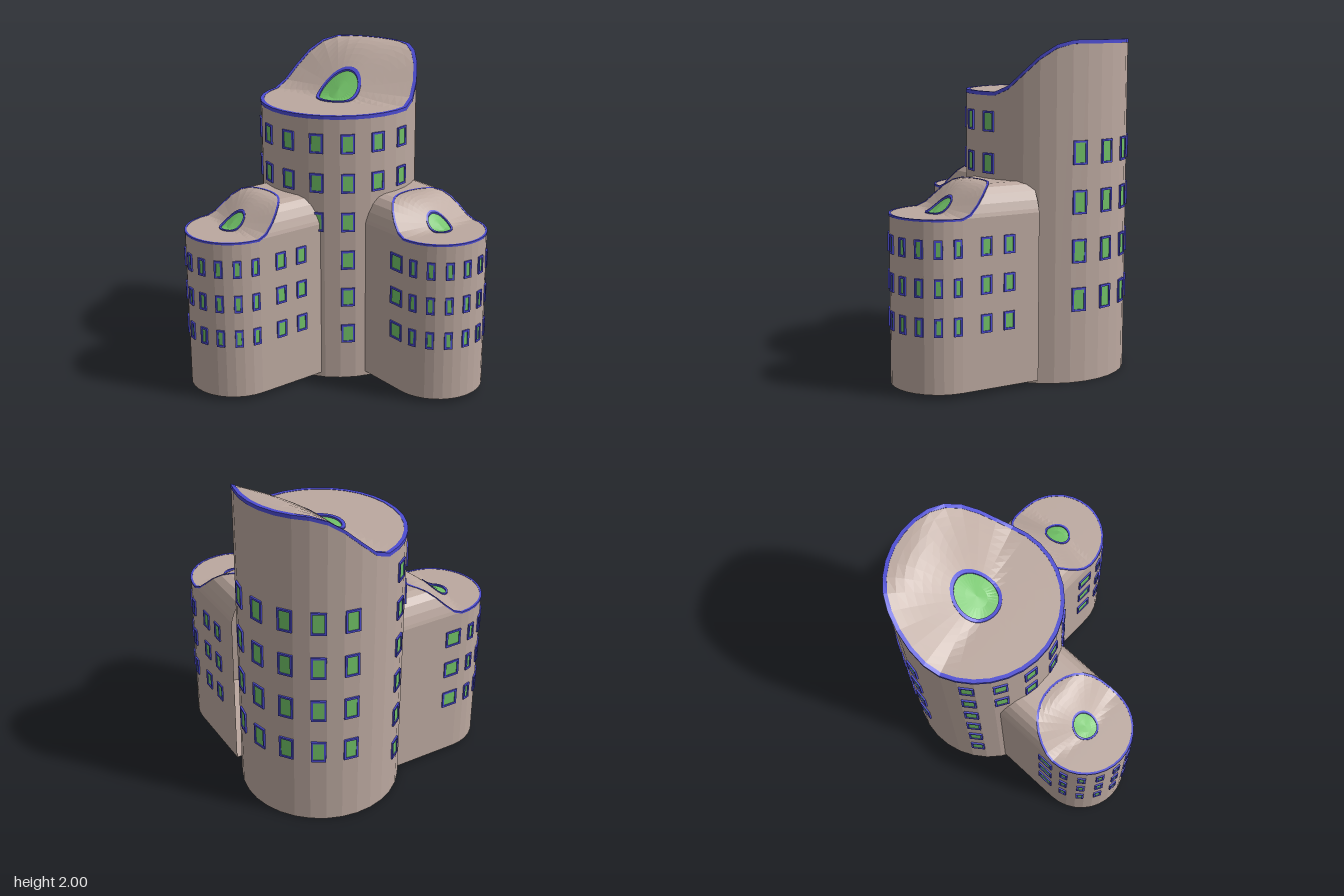
import * as THREE from 'three';

const paint = (color) => new THREE.MeshStandardMaterial({ color, flatShading: true, side: THREE.DoubleSide });
const stone = paint(0xbba89f), blue = paint(0x4b4bd2), green = paint(0x70c066);
const SEG = 32, TAU = Math.PI * 2, rad = THREE.MathUtils.degToRad;

function add(parent, name, geometry, material) {
  const mesh = new THREE.Mesh(geometry, material);
  mesh.name = name;
  parent.add(mesh);
  return mesh;
}

// Grid surface: point(i, j) returns [x, y, z]; faces look along i x j
function sheet(ni, nj, point) {
  const pos = [], index = [];
  for (let i = 0; i <= ni; i++) {
    for (let j = 0; j <= nj; j++) {
      pos.push(...point(i, j));
      if (i < ni && j < nj) {
        const a = i * (nj + 1) + j, b = a + nj + 1;
        index.push(a, b, b + 1, a, b + 1, a + 1);
      }
    }
  }
  const g = new THREE.BufferGeometry();
  g.setAttribute('position', new THREE.Float32BufferAttribute(pos, 3));
  g.setIndex(index);
  g.computeVertexNormals();
  return g;
}

// Roof height: level at the front, sweeping up towards -z
function roofHeight(s, r, a) {
  const z = r * Math.cos(a);
  const lead = s.R * 0.24 * Math.max(0, 1 - r / s.R);
  return s.eave + s.rise * THREE.MathUtils.smoothstep(lead - z, 0, s.R * 0.87);
}

// Ring surface following the roof; profile is a list of [radius, offset]
function roofRing(s, profile) {
  return sheet(SEG, profile.length - 1, (i, j) => {
    const a = (i / SEG) * TAU, [r, dy] = profile[j];
    return [r * Math.sin(a), roofHeight(s, r, a) + dy, r * Math.cos(a)];
  });
}

// Swept roof with rim trim and a round skylight
function addRoof(g, s) {
  const { R, trim, eye } = s, inner = R - trim, outer = eye * 1.17;
  const rings = [];
  for (let k = 0; k <= 7; k++) rings.push([THREE.MathUtils.lerp(inner, outer, k / 7), 0]);
  add(g, 'roof', roofRing(s, rings), stone);
  add(g, 'rimTrim', roofRing(s, [[R, -trim], [R + 0.003, -trim], [R + 0.003, 0.002], [inner, 0.002], [inner, 0]]), blue);
  add(g, 'skylightFrame', roofRing(s, [[outer, 0], [outer, 0.007], [eye, 0.007], [eye, -0.006]]), blue);
  add(g, 'skylight', roofRing(s, [[eye, -0.004], [eye * 0.5, -0.004], [0, -0.004]]), green);
}

// Framed window facing local +z
function addWindow(parent, w, h, x, y, z, turn) {
  const b = 0.012;
  const box = (W, H) => [[-W, -H], [W, -H], [W, H], [-W, H]].map(([px, py]) => new THREE.Vector2(px / 2, py / 2));
  const shape = new THREE.Shape(box(w, h));
  shape.holes.push(new THREE.Path(box(w - 2 * b, h - 2 * b).reverse()));
  const win = new THREE.Group();
  win.name = 'window';
  const frame = add(win, 'windowFrame', new THREE.ExtrudeGeometry(shape, { depth: 0.02, bevelEnabled: false }), blue);
  frame.position.z = -0.012;
  add(win, 'windowPane', new THREE.BoxGeometry(w - 2 * b, h - 2 * b, 0.014), green).position.z = -0.005;
  win.position.set(x, y, z);
  win.rotation.y = turn;
  parent.add(win);
}

function addRoundWindow(g, R, deg, y, w, h) {
  const a = rad(deg);
  addWindow(g, w, h, R * Math.sin(a), y, R * Math.cos(a), a);
}

function mainTower() {
  const g = new THREE.Group();
  g.name = 'mainTower';
  const s = { R: 0.485, eave: 1.7, rise: 0.3, trim: 0.02, eye: 0.12 };
  add(g, 'towerWall', sheet(SEG, 1, (i, j) => {
    const a = (i / SEG) * TAU;
    return [s.R * Math.sin(a), j ? roofHeight(s, s.R, a) : 0, s.R * Math.cos(a)];
  }), stone);
  add(g, 'towerFloor', new THREE.CircleGeometry(s.R, SEG).rotateX(Math.PI / 2), stone);
  addRoof(g, s);

  // Two upper rows at the front, with full columns where the wall is free
  for (let k = -4; k <= 3; k++) {
    const deg = 17 + 22.5 * k;
    const rows = k === -4 || k === 1 ? 6 : k === 0 ? 3 : 2;
    for (let n = 0; n < rows; n++) addRoundWindow(g, s.R, deg, 1.53 - 0.245 * n, 0.085, 0.12);
  }
  // Four rows at the back
  for (let k = 6; k <= 10; k++)
    for (let n = 0; n < 4; n++) addRoundWindow(g, s.R, 17 + 22.5 * k, 1.36 - 0.287 * n, 0.088, 0.14);
  return g;
}

function wing(name) {
  const g = new THREE.Group();
  g.name = name;
  const s = { R: 0.285, eave: 1.025, rise: 0.17, trim: 0.01, eye: 0.068 };
  const { R } = s, L = 0.5, base = 0.03, half = SEG / 2;

  // Outline: straight side, rounded outer end, straight side
  const outline = [[-R, -L]];
  for (let i = 0; i <= half; i++) {
    const a = -Math.PI / 2 + (i / half) * Math.PI;
    outline.push([R * Math.sin(a), R * Math.cos(a)]);
  }
  outline.push([R, -L]);
  add(g, 'wingWall', sheet(outline.length - 1, 1, (i, j) => [outline[i][0], j ? s.eave : base, outline[i][1]]), stone);

  const floor = new THREE.ShapeGeometry(new THREE.Shape(outline.map(([x, z]) => new THREE.Vector2(x, z))));
  add(g, 'wingFloor', floor.rotateX(Math.PI / 2).translate(0, base, 0), stone);

  // Barrel roof: the rear rim drawn back into the tower
  add(g, 'barrelRoof', sheet(half, 1, (i, j) => {
    const a = Math.PI * 1.5 - (i / half) * Math.PI;
    return [R * Math.sin(a), roofHeight(s, R, a), j ? -L : R * Math.cos(a)];
  }), stone);
  addRoof(g, s);

  for (const y of [0.86, 0.64, 0.417]) {
    for (let k = -3; k <= 4; k++) addRoundWindow(g, R, -6 + 22.5 * k, y, 0.05, 0.108);
    for (const t of [0.15, 0.3]) addWindow(g, 0.072, 0.108, R, y, -t, Math.PI / 2);
    addWindow(g, 0.105, 0.108, -R, y, -0.055, -Math.PI / 2);
  }
  return g;
}

export function createModel() {
  const model = new THREE.Group();
  model.name = 'building';

  const tower = mainTower();
  tower.position.set(-0.28, 0, -0.295);
  model.add(tower);

  // Two equal wings at right angles
  for (const [name, x, z, deg] of [['frontWing', -0.535, 0.49, -19.2], ['leftWing', 0.53, -0.155, 70.8]]) {
    const w = wing(name);
    w.position.set(x, 0, z);
    w.rotation.y = rad(deg);
    model.add(w);
  }
  return model;
}
